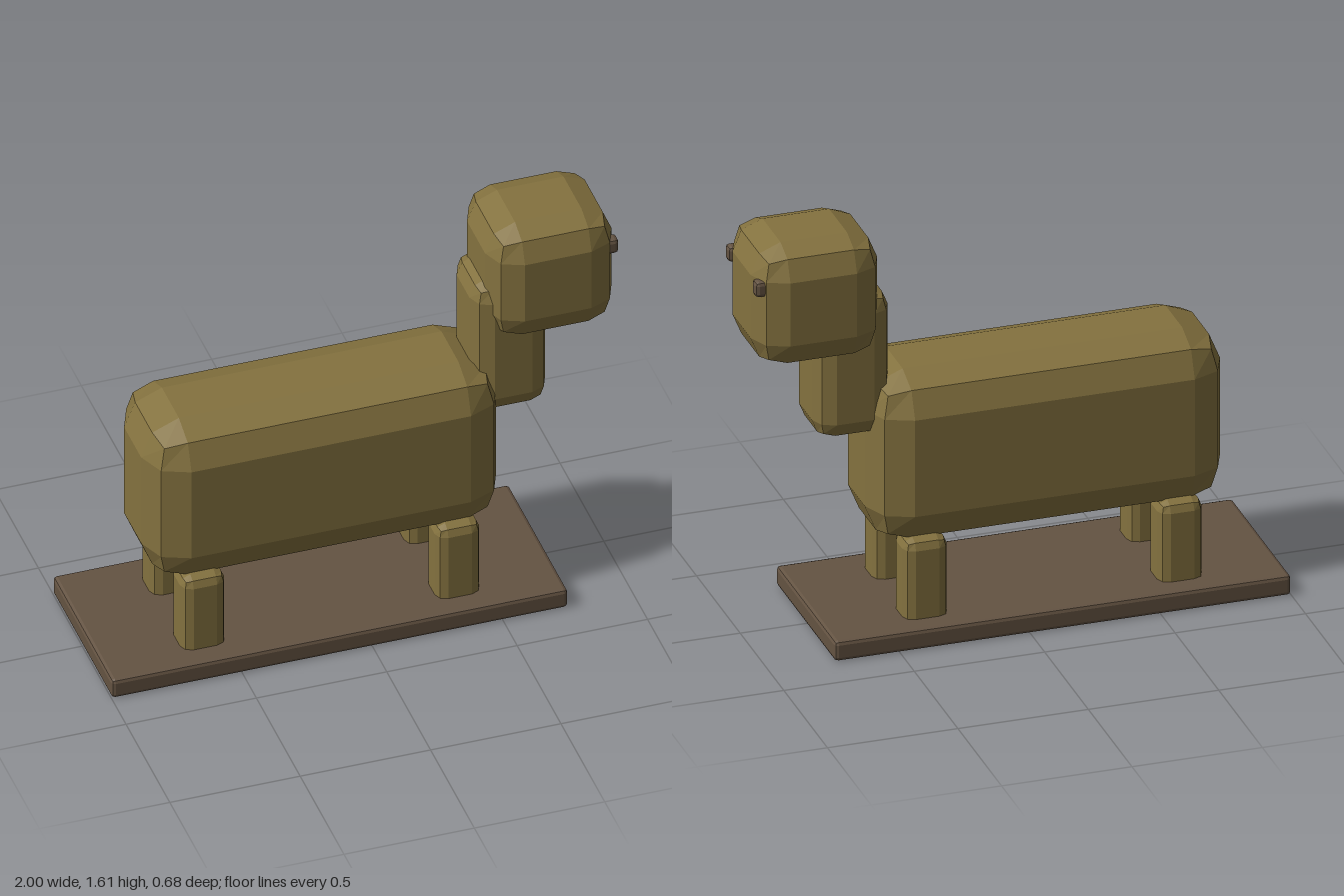
import * as THREE from 'three';
import { RoundedBoxGeometry } from 'three/addons/geometries/RoundedBoxGeometry.js';

export function createModel() {
  const model = new THREE.Group();
  model.name = 'toyAnimal';

  const tan = new THREE.MeshStandardMaterial({ color: 0x84723f, flatShading: true });
  tan.name = 'oliveTan';
  const brown = new THREE.MeshStandardMaterial({ color: 0x645342, flatShading: true });
  brown.name = 'darkBrown';

  // Box with two-step bevelled edges, given by its extents on each axis
  function block(name, material, [x0, x1], [y0, y1], [z0, z1], bevel) {
    const geometry = new RoundedBoxGeometry(x1 - x0, y1 - y0, z1 - z0, 1, bevel);
    const mesh = new THREE.Mesh(geometry, material);
    mesh.name = name;
    mesh.position.set((x0 + x1) / 2, (y0 + y1) / 2, (z0 + z1) / 2);
    model.add(mesh);
  }

  block('base', brown, [-1, 0.75], [0, 0.08], [-0.34, 0.34], 0.015);
  block('body', tan, [-0.807, 0.555], [0.345, 1.025], [-0.242, 0.242], 0.145);
  block('neck', tan, [0.46, 0.75], [0.785, 1.36], [-0.146, 0.146], 0.073);
  block('head', tan, [0.51, 0.995], [1.127, 1.612], [-0.218, 0.218], 0.115);

  // Mirrored legs and eyes
  for (const [side, sign] of [['Left', -1], ['Right', 1]]) {
    const across = (inner, outer) => (sign > 0 ? [inner, outer] : [-outer, -inner]);
    block('frontLeg' + side, tan, [0.28, 0.45], [0.002, 0.395], across(0.1, 0.252), 0.04);
    block('backLeg' + side, tan, [-0.697, -0.527], [0.002, 0.395], across(0.1, 0.252), 0.04);
    block('eye' + side, brown, [0.95, 1], [1.435, 1.497], across(0.13, 0.18), 0.015);
  }

  return model;
}
